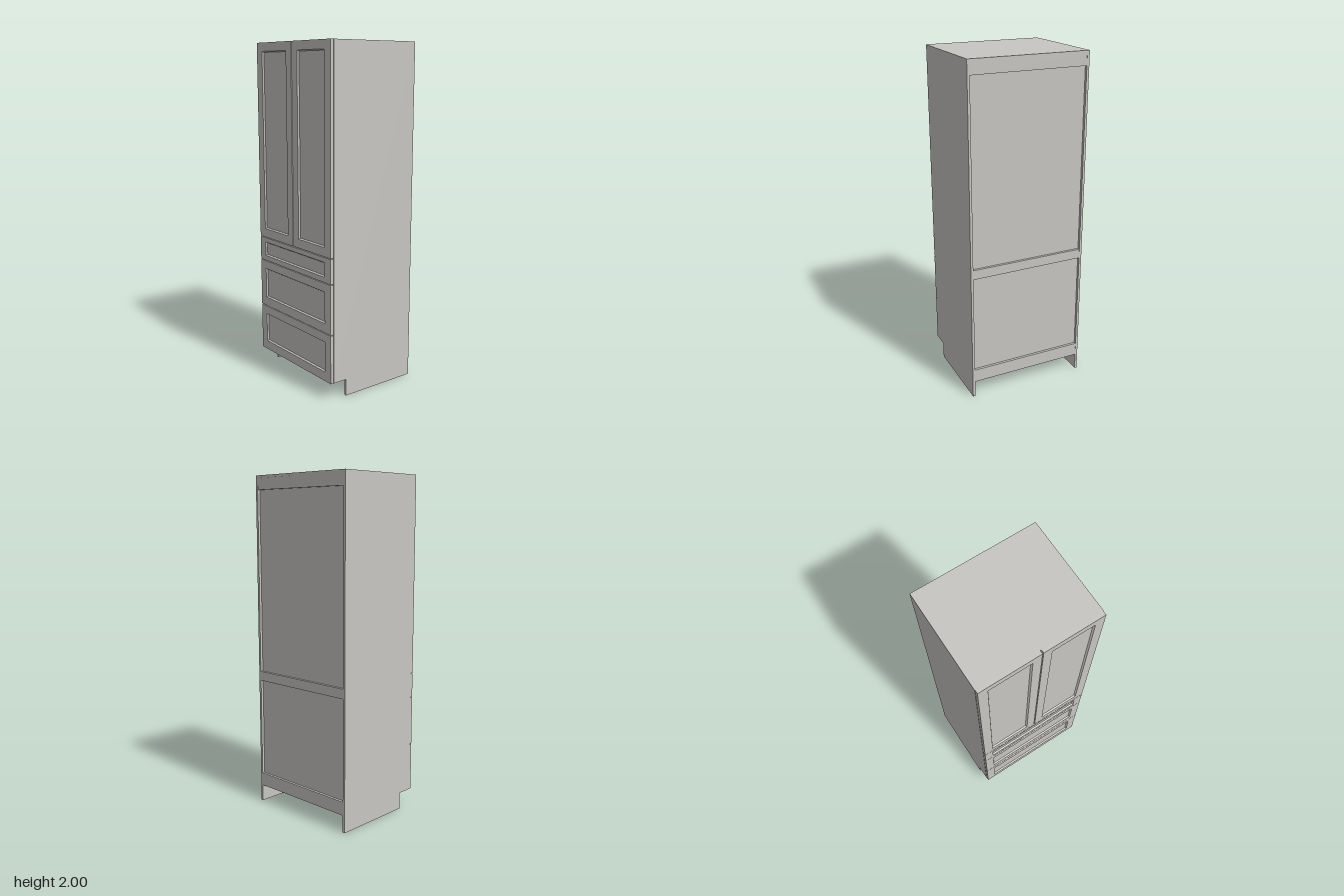
import * as THREE from 'three';

export function createModel() {
  const group = new THREE.Group();
  group.name = 'tallCabinet';
  const paint = new THREE.MeshStandardMaterial({ color: 0xc8c6c2 });
  paint.name = 'warm grey paint';

  const add = (name, geometry) => {
    const mesh = new THREE.Mesh(geometry, paint);
    mesh.name = name;
    group.add(mesh);
    return mesh;
  };

  // Box given by its limits on each axis
  const box = (name, x0, x1, y0, y1, z0, z1) =>
    add(name, new THREE.BoxGeometry(x1 - x0, y1 - y0, z1 - z0))
      .position.set((x0 + x1) / 2, (y0 + y1) / 2, (z0 + z1) / 2);

  // Framed front with a bevelled, recessed centre panel, made of nested rectangles
  function framedFront(name, [x0, x1, y0, y1], [a0, a1, b0, b1]) {
    const back = 0.28, face = 0.3, depth = 0.01, bevel = 0.006;
    const rect = (l, r, b, t, z) => [[l, b, z], [r, b, z], [r, t, z], [l, t, z]];
    const rings = [
      rect(x0, x1, y0, y1, back),
      rect(x0, x1, y0, y1, face),
      rect(a0, a1, b0, b1, face),
      rect(a0 + bevel, a1 - bevel, b0 + bevel, b1 - bevel, face - depth),
    ];
    const points = [];
    const quad = (a, b, c, d) => points.push(...a, ...b, ...c, ...a, ...c, ...d);
    for (let i = 0; i < rings.length - 1; i++) {
      for (let j = 0; j < 4; j++) {
        const k = (j + 1) % 4;
        quad(rings[i][j], rings[i][k], rings[i + 1][k], rings[i + 1][j]);
      }
    }
    quad(...rings[3]);
    quad(...[...rings[0]].reverse());
    const geometry = new THREE.BufferGeometry();
    geometry.setAttribute('position', new THREE.Float32BufferAttribute(points, 3));
    geometry.computeVertexNormals();
    add(name, geometry);
  }

  // Side panels with a toe-kick notch at the lower front
  const t = 0.015;
  const profile = new THREE.Shape();
  [[-0.3, 0], [0.19, 0], [0.19, 0.1], [0.28, 0.1], [0.28, 2], [-0.3, 2]]
    .forEach(([z, y], i) => (i ? profile.lineTo(-z, y) : profile.moveTo(-z, y)));
  for (const [name, x] of [['leftSide', 0.36 - t], ['rightSide', -0.36]]) {
    const side = new THREE.ExtrudeGeometry(profile, { depth: t, bevelEnabled: false });
    side.rotateY(Math.PI / 2);
    add(name, side).position.x = x;
  }

  // Carcass boards
  const w = 0.36 - t;
  box('topBoard', -w, w, 2 - t, 2, -0.3, 0.28);
  box('bottomBoard', -w, w, 0.1, 0.1 + t, -0.299, 0.28);
  for (const y of [0.388, 0.682, 0.83]) {
    box('divider', -w, w, y - t / 2, y + t / 2, -0.28, 0.28);
  }
  box('centrePost', -0.02, 0.02, 0.83, 2 - t, 0.265, 0.28);

  // Recessed back panel with three rails
  box('backPanel', -w, w, 0.1 + t, 2 - t, -0.284, -0.274);
  for (const [y0, y1] of [[0.1 + t, 0.18], [0.773, 0.83], [1.917, 2 - t]]) {
    box('backRail', -w, w, y0, y1, -0.299, -0.284);
  }

  // Pair of tall doors
  framedFront('leftDoor', [0.003, 0.358, 0.832, 2], [0.055, 0.303, 0.885, 1.95]);
  framedFront('rightDoor', [-0.358, -0.003, 0.832, 2], [-0.303, -0.055, 0.885, 1.95]);

  // Three drawers, bottom to top
  const drawers = [
    ['lowerDrawer', 0.1, 0.386, 0.155, 0.335],
    ['middleDrawer', 0.39, 0.68, 0.445, 0.63],
    ['upperDrawer', 0.684, 0.828, 0.715, 0.8],
  ];
  for (const [name, y0, y1, b0, b1] of drawers) {
    framedFront(name, [-0.358, 0.358, y0, y1], [-0.303, 0.303, b0, b1]);
  }

  return group;
}
